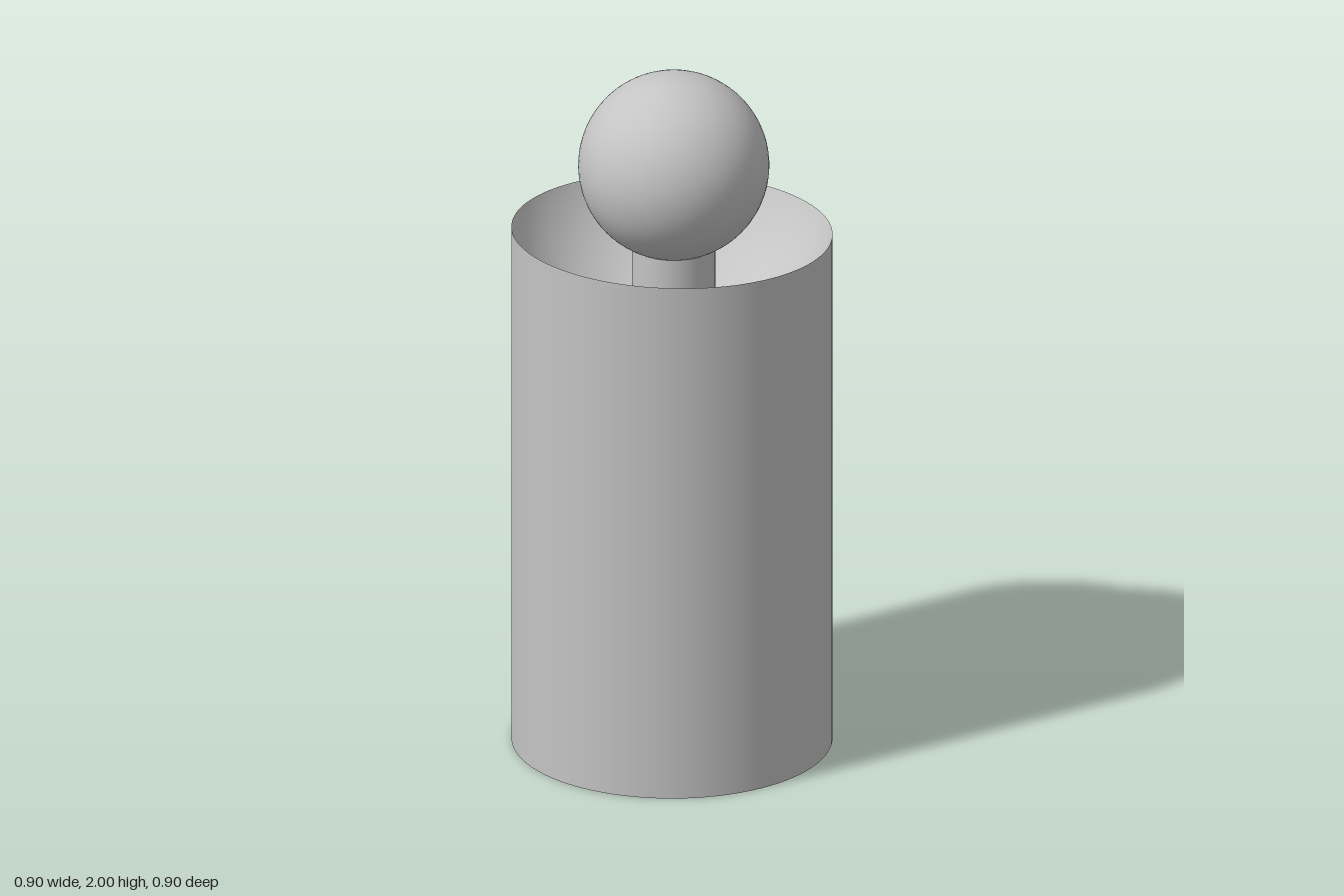
import * as THREE from 'three';

export function createModel() {
  const model = new THREE.Group();
  const grey = new THREE.MeshStandardMaterial({ color: 0xc4c4c4 });

  const radius = 0.45;        // cylinder
  const bowlRadius = 0.491;   // spherical hollow, concentric with the ball
  const ballRadius = 0.268;
  const centre = new THREE.Vector3(0.002, 2 - ballRadius, -0.006);
  const segments = 96;

  const add = (name, geometry, position) => {
    const mesh = new THREE.Mesh(geometry, grey);
    mesh.name = name;
    if (position) mesh.position.copy(position);
    model.add(mesh);
    return mesh;
  };

  // Height of the hollow's surface above a point of the floor plan
  const bowlHeight = (x, z) =>
    centre.y - Math.sqrt(bowlRadius ** 2 - (x - centre.x) ** 2 - (z - centre.z) ** 2);

  // Outer wall, its top edge following the hollow
  const wall = new THREE.CylinderGeometry(radius, radius, 1, segments, 1, true);
  const wp = wall.attributes.position;
  for (let i = 0; i < wp.count; i++) {
    wp.setY(i, wp.getY(i) > 0 ? bowlHeight(wp.getX(i), wp.getZ(i)) : 0);
  }
  add('bodyWall', wall);

  // Flat underside
  add('bodyBottom', new THREE.CircleGeometry(radius, segments).rotateX(Math.PI / 2));

  // Hollow top: rings from rim to middle, dropped onto the sphere
  const rings = 32;
  const profile = [];
  for (let i = 0; i <= rings; i++) {
    profile.push(new THREE.Vector2(radius * Math.sin((1 - i / rings) * Math.PI / 2), -i / rings));
  }
  const bowl = new THREE.LatheGeometry(profile, segments);
  const bp = bowl.attributes.position;
  const normal = new THREE.Vector3();
  for (let i = 0; i < bp.count; i++) {
    bp.setY(i, bowlHeight(bp.getX(i), bp.getZ(i)));
    normal.fromBufferAttribute(bp, i).subVectors(centre, normal).normalize();
    bowl.attributes.normal.setXYZ(i, normal.x, normal.y, normal.z);
  }
  add('bowl', bowl);

  // Post rising from the hollow into the ball
  const postBottom = centre.y - bowlRadius - 0.02;
  const postTop = centre.y - ballRadius * 0.7;
  add('post',
    new THREE.CylinderGeometry(0.117, 0.117, postTop - postBottom, 48),
    new THREE.Vector3(centre.x, (postTop + postBottom) / 2, centre.z));

  // Ball on top
  add('ball', new THREE.SphereGeometry(ballRadius, 64, 40), centre);

  return model;
}
